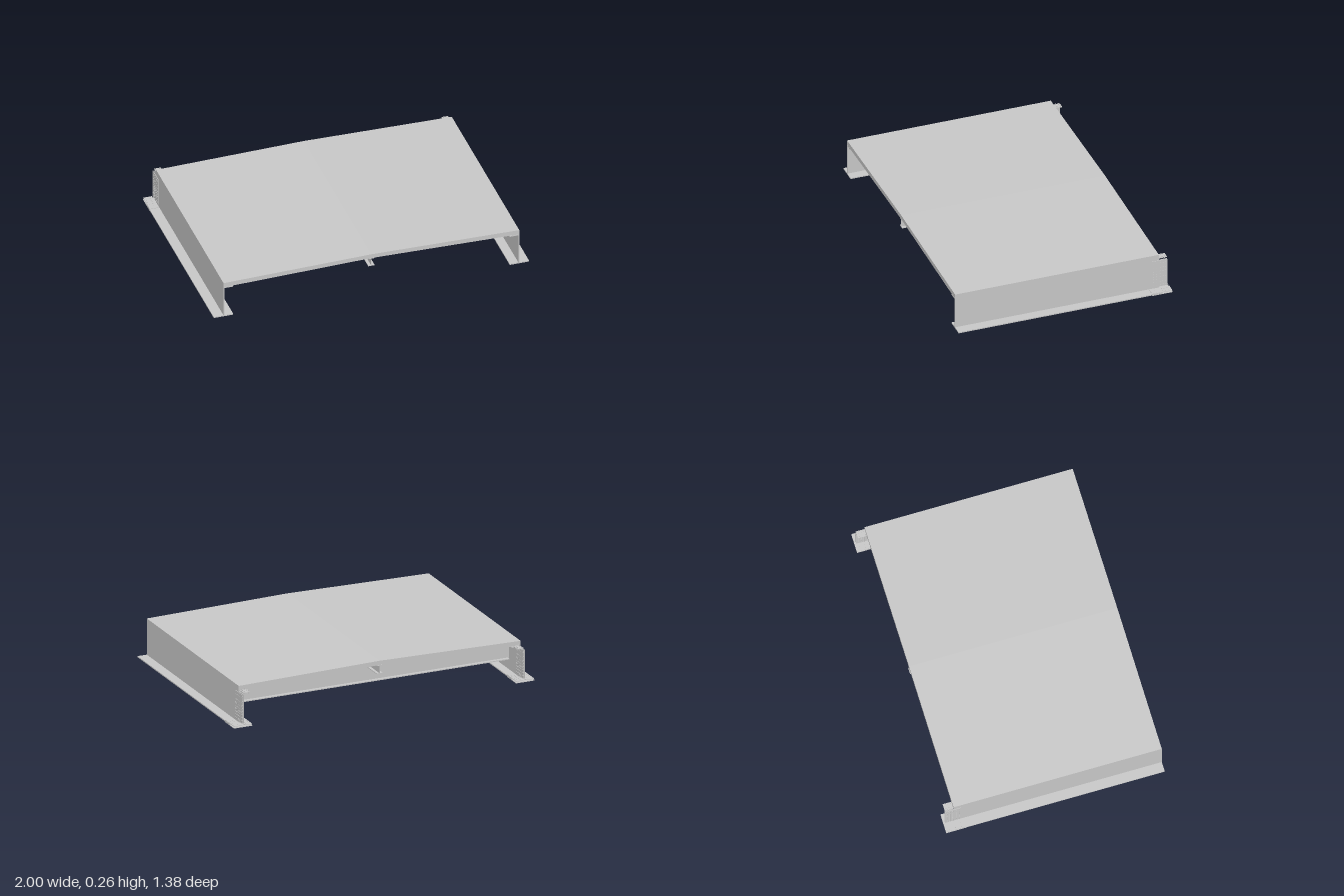
import * as THREE from 'three';

const steel = new THREE.MeshStandardMaterial({ color: 0xcccccc, flatShading: true });

const FRONT = 0.685, BACK = -0.625; // ends of the deck and girders
const EDGE = 0.938;                 // half width of the deck
const MID = (FRONT + BACK) / 2, LENGTH = FRONT - BACK;

// Box given by its limits along each axis
function slab(parent, name, [x0, x1], [y0, y1], [z0, z1]) {
  const mesh = new THREE.Mesh(new THREE.BoxGeometry(Math.abs(x1 - x0), y1 - y0, z1 - z0), steel);
  mesh.position.set((x0 + x1) / 2, (y0 + y1) / 2, (z0 + z1) / 2);
  mesh.name = name;
  parent.add(mesh);
}

// Outline in x and y, extruded along z
function crossPlate(parent, name, points, z, depth) {
  const shape = new THREE.Shape(points.map(([x, y]) => new THREE.Vector2(x, y)));
  const mesh = new THREE.Mesh(new THREE.ExtrudeGeometry(shape, { depth, bevelEnabled: false }), steel);
  mesh.position.z = z - depth / 2;
  mesh.name = name;
  parent.add(mesh);
}

// Six-sided bolt running through a plate
function bolt(parent, x, y, z, length, alongX) {
  const mesh = new THREE.Mesh(new THREE.CylinderGeometry(0.003, 0.003, length, 6), steel);
  mesh.position.set(x, y, z);
  if (alongX) mesh.rotation.z = Math.PI / 2;
  mesh.name = 'bolt';
  parent.add(mesh);
}

// Edge girder with its bolted splice at the back end
function girder(side) {
  const g = new THREE.Group();
  g.name = side > 0 ? 'leftGirder' : 'rightGirder';
  const sx = (a, b) => [side * a, side * b];
  const span = [BACK, FRONT];
  slab(g, 'girderWeb', sx(0.932, EDGE), [0.013, 0.215], span);
  slab(g, 'bottomFlange', sx(0.877, 1), [0.006, 0.013], span);
  slab(g, 'topFlange', sx(0.877, 0.937), [0.208, 0.214], span);

  // Splice plates
  slab(g, 'outerWebSplice', sx(0.938, 0.941), [0.022, 0.205], [-0.68, -0.58]);
  slab(g, 'innerWebSplice', sx(0.929, 0.932), [0.022, 0.205], [-0.68, -0.58]);
  slab(g, 'bottomSplice', sx(0.877, 1), [0.002, 0.006], [-0.69, -0.56]);
  for (const [a, b] of [[0.879, 0.927], [0.943, 0.998]])
    slab(g, 'upperBottomSplice', sx(a, b), [0.013, 0.016], [-0.69, -0.56]);
  slab(g, 'topSplice', sx(0.89, 0.932), [0.214, 0.218], [-0.68, -0.57]);

  // Bolts
  for (const z of [-0.59, -0.608, -0.632, -0.65, -0.668]) {
    for (const y of [0.035, 0.055, 0.075, 0.092, 0.11, 0.13, 0.155, 0.187])
      bolt(g, side * 0.935, y, z, 0.02, true);
    for (const x of [0.89, 0.912, 0.962, 0.986]) bolt(g, side * x, 0.009, z, 0.018, false);
    for (const x of [0.898, 0.923]) bolt(g, side * x, 0.215, z, 0.02, false);
  }
  return g;
}

// Transverse I-beam whose top follows the crown of the deck
function floorBeam(z) {
  const g = new THREE.Group();
  g.name = 'floorBeam';
  crossPlate(g, 'beamWeb', [[-0.931, 0.088], [0.931, 0.088], [0.931, 0.214], [0, 0.234], [-0.931, 0.214]], z, 0.006);
  slab(g, 'beamBottomFlange', [-0.925, 0.925], [0.084, 0.09], [z - 0.025, z + 0.025]);
  crossPlate(g, 'beamTopFlange',
    [[-0.925, 0.208], [0, 0.228], [0.925, 0.208], [0.925, 0.214], [0, 0.234], [-0.925, 0.214]], z, 0.05);
  return g;
}

export function createModel() {
  const model = new THREE.Group();
  model.name = 'bridgeDeckSection';

  // Crowned deck slab
  crossPlate(model, 'deck',
    [[-EDGE, 0.215], [0, 0.235], [EDGE, 0.215], [EDGE, 0.245], [0, 0.262], [-EDGE, 0.245]], MID, LENGTH);

  for (const side of [1, -1]) model.add(girder(side));
  for (const z of [-0.47, -0.035, 0.4]) model.add(floorBeam(z));

  // Central stringer below the crown
  const stringer = new THREE.Group();
  stringer.name = 'stringer';
  slab(stringer, 'stringerWeb', [-0.002, 0.002], [0.182, 0.234], [BACK, FRONT]);
  slab(stringer, 'stringerBottomFlange', [-0.02, 0.02], [0.179, 0.183], [BACK, FRONT]);
  slab(stringer, 'stringerTopFlange', [-0.02, 0.02], [0.23, 0.234], [BACK, FRONT]);
  model.add(stringer);
  return model;
}
